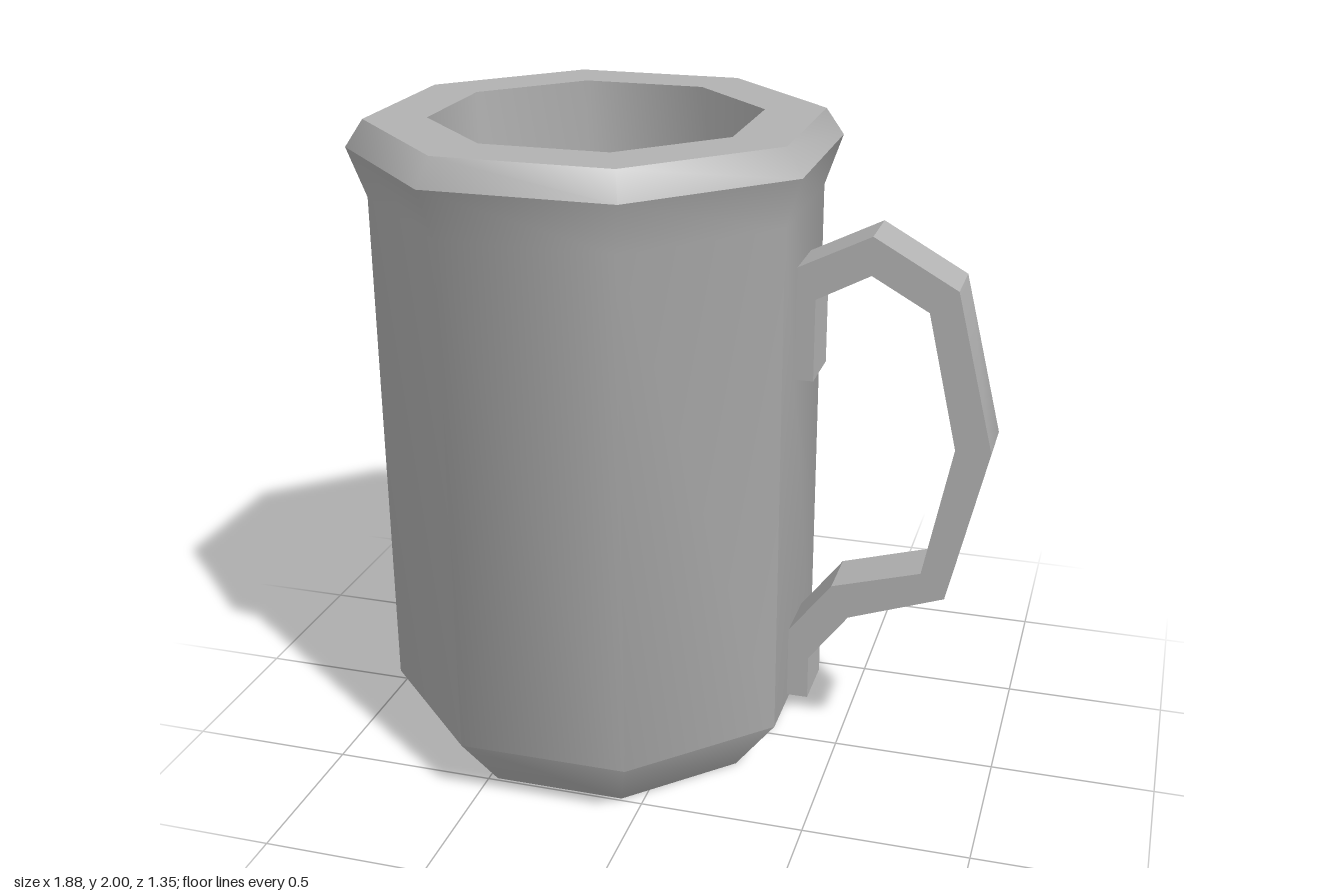
import * as THREE from 'three';
import { toCreasedNormals } from 'three/addons/utils/BufferGeometryUtils.js';

const SIDES = 8;
const CENTRE_X = -0.27;

export function createModel() {
  const grey = new THREE.MeshStandardMaterial({ color: 0xb2b2b2 });
  grey.name = 'plain grey';
  const model = new THREE.Group();
  model.name = 'mug';

  // Octagonal vessel: [flat-to-centre distance, height], up the outside and down the inside
  const profile = [
    [0, 0], [0.49, 0], [0.625, 0.19], [0.625, 1.77], [0.675, 1.92],
    [0.625, 2], [0.455, 2], [0.445, 0.2], [0, 0.2],
  ].map(([apothem, y]) => new THREE.Vector2(apothem / Math.cos(Math.PI / SIDES), y));
  const vesselGeometry = new THREE.LatheGeometry(profile, SIDES, Math.PI / SIDES);
  const vessel = new THREE.Mesh(
    toCreasedNormals(vesselGeometry, THREE.MathUtils.degToRad(48)), grey);
  vessel.name = 'vessel';
  vessel.position.x = CENTRE_X;
  model.add(vessel);

  // Handle: side outline, outer edge downwards then inner edge back up
  const outline = [
    [0.34, 1.605], [0.57, 1.72], [0.82, 1.58], [0.94, 1.1], [0.83, 0.615],
    [0.54, 0.51], [0.42, 0.35], [0.42, 0.21], [0.34, 0.21],
    [0.34, 0.42], [0.485, 0.61], [0.755, 0.69], [0.835, 1.1], [0.74, 1.51],
    [0.57, 1.605], [0.41, 1.52], [0.41, 1.27], [0.34, 1.27],
  ].map(([x, y]) => new THREE.Vector2(x, y));
  const handleGeometry = new THREE.ExtrudeGeometry(new THREE.Shape(outline), {
    depth: 0.18, bevelEnabled: false,
  }).translate(0, 0, -0.09);
  const handle = new THREE.Mesh(
    toCreasedNormals(handleGeometry, THREE.MathUtils.degToRad(35)), grey);
  handle.name = 'handle';
  model.add(handle);

  return model;
}
